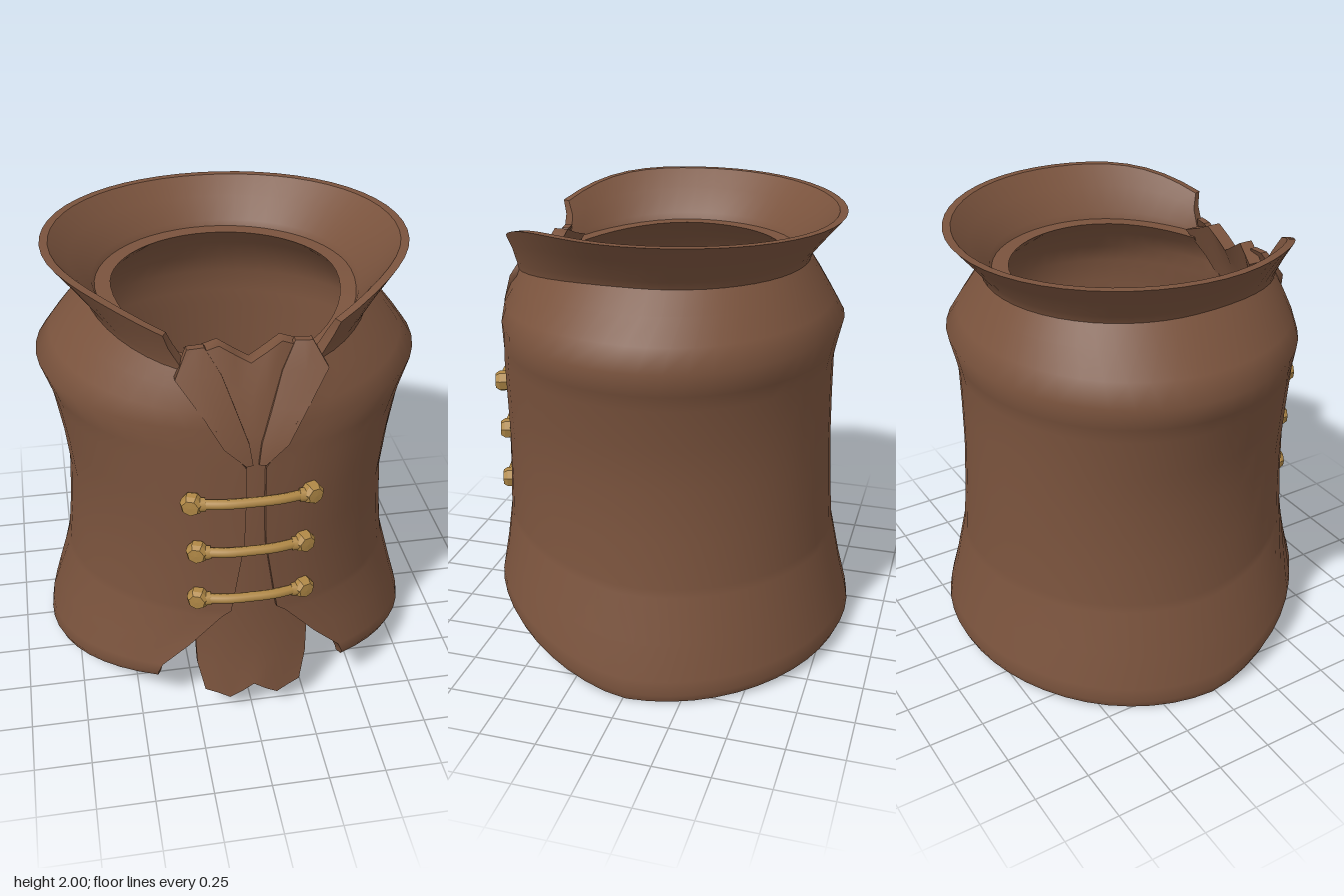
import * as THREE from 'three';
import { mergeGeometries } from 'three/addons/utils/BufferGeometryUtils.js';

const leather = new THREE.MeshStandardMaterial({ color: 0x7a533d });
leather.name = 'brown leather';
const brass = new THREE.MeshStandardMaterial({ color: 0xb08846 });
brass.name = 'brass';

// Grid of quads over fn(i, j) => [x, y, z]
function surface(nu, nv, fn) {
  const pos = [], idx = [];
  for (let j = 0; j <= nv; j++) for (let i = 0; i <= nu; i++) pos.push(...fn(i, j));
  for (let j = 0; j < nv; j++) for (let i = 0; i < nu; i++) {
    const a = j * (nu + 1) + i, d = a + nu + 1;
    idx.push(a, a + 1, d + 1, a, d + 1, d);
  }
  const g = new THREE.BufferGeometry();
  g.setAttribute('position', new THREE.Float32BufferAttribute(pos, 3));
  g.setIndex(idx);
  g.computeVertexNormals();
  return g;
}

// Closed sheet with thickness; side 1 is the outside, 0 the inside
function shell(nu, nv, p) {
  return mergeGeometries([
    surface(nu, nv, (i, j) => p(i, j, 1)),
    surface(nu, nv, (i, j) => p(nu - i, j, 0)),
    surface(1, nv, (i, j) => p(0, j, i)),
    surface(1, nv, (i, j) => p(nu, j, 1 - i)),
    surface(nu, 1, (i, j) => p(i, 0, j)),
    surface(nu, 1, (i, j) => p(i, nv, 1 - j)),
  ]);
}

// Sheet wrapped round the torso. Rows: [y, half width, front, back, half gap, thickness]
function wrap(rows, shiftY) {
  const n = 44;
  return shell(n, rows.length - 1, (i, j, side) => {
    const [y, rx, zf, zb, gap, d] = rows[j];
    const a0 = Math.asin(gap / rx);
    const a = a0 + (2 * Math.PI - 2 * a0) * i / n;
    const t = side ? 0 : d, c = Math.cos(a);
    return [(rx - t) * Math.sin(a), shiftY(y, c), ((c > 0 ? zf : zb) - t) * c];
  });
}

// The hem rises to the cut-away front, and the neckline dips at the front
function bodyShift(y, c) {
  const hem = c > 0 ? Math.min(0.2, 0.2 * Math.pow(c / 0.873, 1.2)) : 0.04 * c * c;
  const neck = c > 0 ? 0.08 * c * c * Math.max(0, (y - 1.51) / 0.28) : 0;
  return y - (0.2 - hem) * Math.max(0, (0.9 - y) / 0.7) - neck;
}

// The collar rim dips at the front and slightly at the back
function collarShift(y, c) {
  const k = (y - 1.77) / 0.23;
  const dip = c > 0 ? 0.11 * Math.pow(c / 0.9, 5) : 0.02 * c * c;
  return y - k * dip - (c > 0 ? 0.085 * c * c * (1 - k) : 0);
}

const bodyRows = [
  [0.20, 0.855, 0.825, 0.822, 0.42, 0.03],
  [0.23, 0.870, 0.838, 0.838, 0.42, 0.045],
  [0.28, 0.860, 0.838, 0.828, 0.40, 0.045],
  [0.40, 0.817, 0.810, 0.790, 0.28, 0.05],
  [0.56, 0.762, 0.792, 0.750, 0.14, 0.05],
  [0.59, 0.753, 0.790, 0.742, 0.10, 0.05],
  [0.75, 0.732, 0.786, 0.728, 0.075, 0.05],
  [0.95, 0.720, 0.785, 0.717, 0.045, 0.05],
  [1.15, 0.742, 0.785, 0.713, 0.04, 0.05],
  [1.33, 0.772, 0.782, 0.712, 0.04, 0.06],
  [1.40, 0.790, 0.778, 0.725, 0.09, 0.07],
  [1.51, 0.830, 0.772, 0.750, 0.16, 0.10],
  [1.60, 0.765, 0.765, 0.700, 0.215, 0.08],
  [1.70, 0.685, 0.742, 0.643, 0.275, 0.08],
  [1.79, 0.605, 0.718, 0.588, 0.265, 0.115],
];

// Lining inside the lower hem, with its own free edge
const liningRows = [
  [0.255, 0.740, 0.735, 0.715, 0.35, 0.02],
  [0.40, 0.725, 0.730, 0.705, 0.25, 0.02],
  [0.56, 0.712, 0.735, 0.700, 0.13, 0.02],
  [0.75, 0.690, 0.740, 0.685, 0.075, 0.02],
];

const collarRows = [
  [1.77, 0.600, 0.718, 0.590, 0.265, 0.05],
  [1.82, 0.620, 0.715, 0.605, 0.28, 0.05],
  [1.92, 0.705, 0.722, 0.680, 0.325, 0.045],
  [2.00, 0.775, 0.735, 0.742, 0.345, 0.035],
];

// Front placket. Rows: [y, half width, z, thickness]
const placketRows = [
  [0.12, 0.215, 0.815, 0.03], [0.27, 0.245, 0.79, 0.03], [0.42, 0.25, 0.775, 0.03],
  [0.58, 0.18, 0.768, 0.03], [0.95, 0.12, 0.765, 0.03], [1.33, 0.11, 0.762, 0.03],
  [1.46, 0.15, 0.74, 0.03], [1.62, 0.21, 0.69, 0.04], [1.76, 0.25, 0.635, 0.065],
];
const tabs = [0.015, 0, -0.025, 0.01, 0.05, 0.01, -0.025, 0, 0.015];
const peaks = [0, 0.02, 0.05, 0.01, -0.03, 0.01, 0.05, 0.02, 0];

function placketZ(y) {
  let k = 0;
  while (k < placketRows.length - 2 && placketRows[k + 1][0] < y) k++;
  const [y0, , z0] = placketRows[k], [y1, , z1] = placketRows[k + 1];
  return z0 + (z1 - z0) * (y - y0) / (y1 - y0);
}

function placket() {
  const last = placketRows.length - 1;
  return shell(8, last, (i, j, side) => {
    const [y, w, z, d] = placketRows[j];
    const x = w * (i / 4 - 1);
    const dy = j === 0 ? tabs[i] : j === last ? peaks[i] : 0;
    return [x, y + dy, z - 0.8 * x * x - (side ? 0 : d)];
  });
}

// Folded lapel, lifting along its outer edge. Rows: [y, inner x, outer x, outer lift]
const lapelRows = [
  [1.34, 0.012, 0.04, 0.022], [1.43, 0.025, 0.13, 0.05], [1.56, 0.07, 0.205, 0.07],
  [1.70, 0.12, 0.305, 0.085], [1.80, 0.18, 0.25, 0.045],
];
function lapel(s) {
  return shell(2, lapelRows.length - 1, (i, j, side) => {
    const [y, a, b, lift] = lapelRows[j];
    const t = (s > 0 ? i : 2 - i) / 2;
    const x = s * (a + (b - a) * t);
    return [x, y, placketZ(y) - 0.8 * x * x + 0.014 + (lift - 0.014) * t - (side ? 0 : 0.032)];
  });
}

// Toggle: wavy bar with a faceted knob at each end
function toggle(y, x0, x1) {
  const g = new THREE.Group();
  g.name = 'toggle';
  const m = (x0 + x1) / 2, h = (x1 - x0) / 2;
  const path = new THREE.CatmullRomCurve3([[-1, 0.765], [-0.45, 0.797], [0, 0.802], [0.45, 0.797], [1, 0.765]]
    .map(([t, z]) => new THREE.Vector3(m + h * t, y + 0.008 * (1 - t * t), z)));
  const bar = new THREE.Mesh(new THREE.TubeGeometry(path, 16, 0.021, 8), brass);
  bar.name = 'toggleBar';
  g.add(bar);
  const profile = [[0, -0.035], [0.036, -0.035], [0.048, -0.015], [0.048, 0.015], [0.036, 0.034], [0, 0.036]]
    .map(([r, t]) => new THREE.Vector2(r, t));
  const knobGeo = new THREE.LatheGeometry(profile, 7).toNonIndexed();
  knobGeo.computeVertexNormals();
  for (const s of [-1, 1]) {
    const knob = new THREE.Mesh(knobGeo, brass);
    knob.name = 'toggleKnob';
    knob.position.set(m + s * h, y, 0.762);
    knob.rotation.set(Math.PI / 2, 0, -s * 0.35);
    g.add(knob);
    const ferrule = new THREE.Mesh(new THREE.CylinderGeometry(0.03, 0.03, 0.03, 7), brass);
    ferrule.name = 'toggleFerrule';
    ferrule.position.set(m + s * (h - 0.038), y, 0.772);
    ferrule.rotation.z = Math.PI / 2;
    g.add(ferrule);
  }
  return g;
}

export function createModel() {
  const model = new THREE.Group();
  model.name = 'vest';
  const add = (name, geo) => {
    const mesh = new THREE.Mesh(geo, leather);
    mesh.name = name;
    model.add(mesh);
  };
  add('vestBody', wrap(bodyRows, bodyShift));
  add('lining', wrap(liningRows, bodyShift));
  add('collar', wrap(collarRows, collarShift));
  add('placket', placket());
  add('leftLapel', lapel(1));
  add('rightLapel', lapel(-1));

  // Three front fastenings
  for (const [y, x0, x1] of [[1.172, -0.26, 0.235], [0.922, -0.24, 0.21], [0.67, -0.24, 0.215]]) model.add(toggle(y, x0, x1));
  return model;
}
